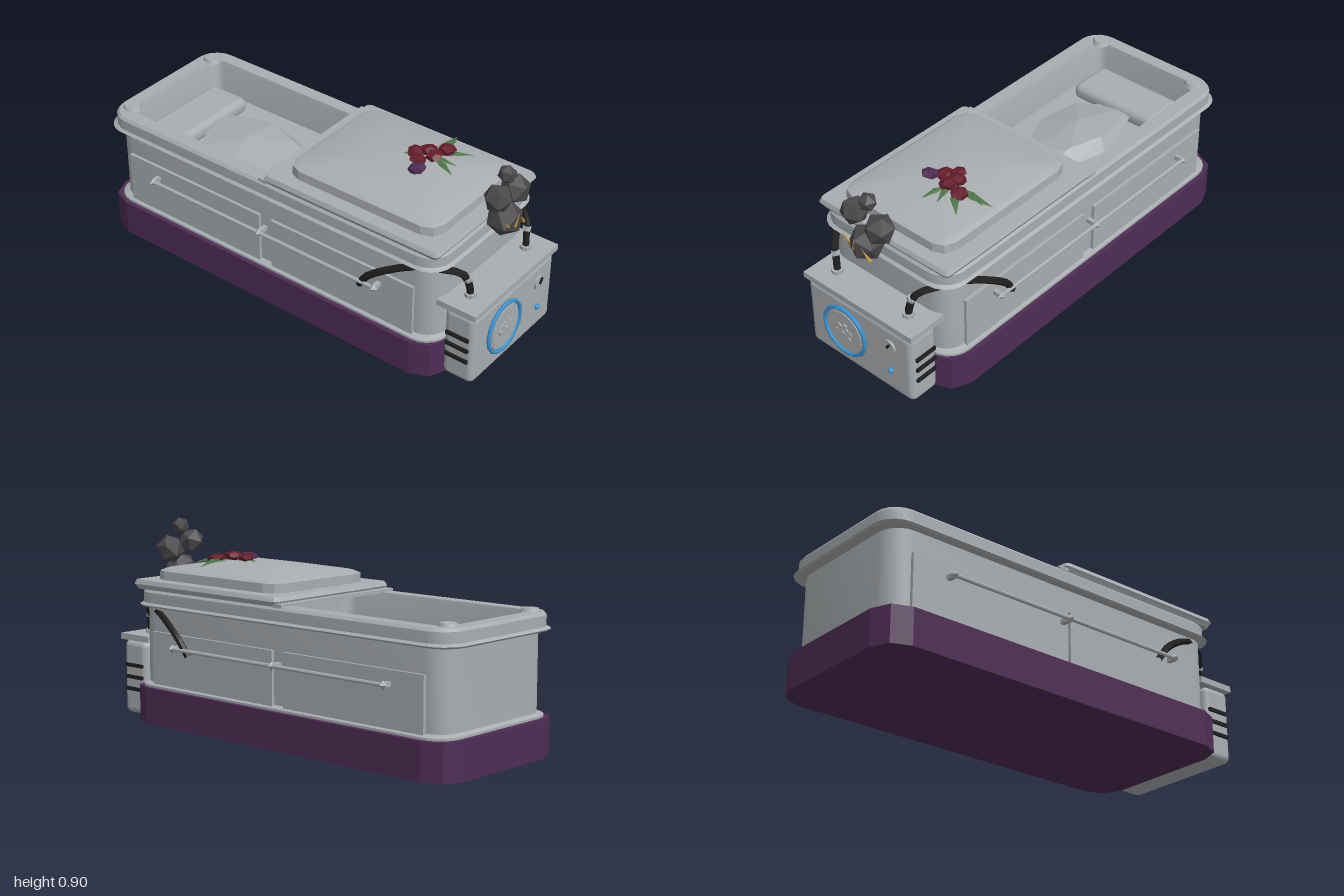
import * as THREE from 'three';
import { toCreasedNormals } from 'three/addons/utils/BufferGeometryUtils.js';
import { RoundedBoxGeometry } from 'three/addons/geometries/RoundedBoxGeometry.js';
import { ConvexGeometry } from 'three/addons/geometries/ConvexGeometry.js';

const mat = (name, color, extra = {}) => {
  const m = new THREE.MeshStandardMaterial({ color, ...extra });
  m.name = name;
  return m;
};

// Rounded-rectangle ring, counter-clockwise seen from above
function ring([hw, z0, z1, y, r], n) {
  const pts = [];
  const corners = [[hw - r, z0 + r], [r - hw, z0 + r], [r - hw, z1 - r], [hw - r, z1 - r]];
  corners.forEach(([cx, cz], k) => {
    for (let i = 0; i <= n; i++) {
      const a = (k + i / n) * Math.PI / 2;
      pts.push([cx + r * Math.cos(a), y, cz - r * Math.sin(a)]);
    }
  });
  return pts;
}

// Loft through levels [halfWidth, zBack, zFront, y, cornerRadius], capped at both ends
function loft(levels, n = 4, crease = 0.5) {
  const rings = levels.map((l) => ring(l, n));
  const m = rings[0].length, pos = [], idx = [];
  rings.forEach((r) => r.forEach((p) => pos.push(...p)));
  for (let j = 0; j < rings.length - 1; j++) {
    for (let i = 0; i < m; i++) {
      const a = j * m + i, b = j * m + (i + 1) % m;
      idx.push(a, b, a + m, b, b + m, a + m);
    }
  }
  const top = (rings.length - 1) * m;
  for (let i = 1; i < m - 1; i++) idx.push(0, i + 1, i, top, top + i, top + i + 1);
  const g = new THREE.BufferGeometry();
  g.setAttribute('position', new THREE.Float32BufferAttribute(pos, 3));
  g.setIndex(idx);
  return toCreasedNormals(g, crease);
}

export function createModel() {
  const model = new THREE.Group();
  const grey = mat('pale grey', 0xa9adb0);
  const purple = mat('dark purple', 0x4e2d54);
  const black = mat('black rubber', 0x1f1f20);
  const blue = mat('blue', 0x3c96d6);
  const smoke = mat('smoke grey', 0x4b484b, { flatShading: true });
  const gold = mat('gold', 0xc29a3c, { flatShading: true });
  const red = mat('deep red', 0x641c2b, { flatShading: true });
  const green = mat('leaf green', 0x4d7345, { side: THREE.DoubleSide });

  const add = (name, geo, material, pos = [0, 0, 0], rot = [0, 0, 0]) => {
    const m = new THREE.Mesh(geo, material);
    m.name = name;
    m.position.set(...pos);
    m.rotation.set(...rot);
    model.add(m);
    return m;
  };
  const box = (x, y, z) => new THREE.BoxGeometry(x, y, z);
  const cyl = (r, h, n = 16, r2 = r) => toCreasedNormals(new THREE.CylinderGeometry(r2, r, h, n), 0.6);

  // Plinth
  add('plinth', loft([[0.39, -1, 0.84, 0, 0.12], [0.39, -1, 0.84, 0.165, 0.12]], 2, 0.3), purple);

  // Hollow shell: foot lip, wall, rim, then down into the bed
  add('shell', loft([
    [0.37, -0.975, 0.825, 0.16, 0.11], [0.37, -0.975, 0.825, 0.175, 0.11],
    [0.342, -0.955, 0.81, 0.185, 0.1], [0.342, -0.955, 0.81, 0.525, 0.1],
    [0.368, -0.992, 0.83, 0.53, 0.11], [0.376, -1, 0.838, 0.538, 0.11],
    [0.364, -0.985, 0.825, 0.548, 0.11], [0.364, -0.985, 0.825, 0.595, 0.11],
    [0.352, -0.975, 0.815, 0.608, 0.1], [0.29, -0.915, 0.1, 0.608, 0.05],
    [0.285, -0.91, 0.1, 0.59, 0.05], [0.27, -0.895, 0.1, 0.45, 0.05],
  ], 5), grey);

  // Front lid: slab, edge strip and domed cover
  add('lidSlab', loft([
    [0.355, -0.06, 0.815, 0.606, 0.02], [0.36, -0.065, 0.82, 0.616, 0.02],
    [0.368, -0.07, 0.828, 0.628, 0.02], [0.36, -0.06, 0.82, 0.648, 0.02],
  ], 2), grey);
  add('lidEdgeStrip', box(0.72, 0.016, 0.05), grey, [0, 0.612, -0.075]);
  add('lidCover', loft([
    [0.298, 0, 0.765, 0.645, 0.07], [0.296, 0, 0.763, 0.688, 0.07],
    [0.275, 0.03, 0.735, 0.7, 0.06], [0.15, 0.2, 0.6, 0.724, 0.05], [0.03, 0.34, 0.48, 0.736, 0.02],
  ], 2, 0.3), grey);

  // Raised discs on the rear rim corners
  for (const s of [-1, 1]) add('rimDisc', cyl(0.045, 0.02, 10, 0.035), grey, [s * 0.27, 0.612, -0.915]);

  // Bed: pillow and draped lump
  add('pillow', new RoundedBoxGeometry(0.46, 0.08, 0.22, 3, 0.035), grey, [0, 0.475, -0.77]);
  const lump = [
    [0.06, 0.48, -0.74], [0.105, 0.48, -0.67], [0.175, 0.46, -0.4], [0.13, 0.46, -0.25], [0.05, 0.455, -0.1],
    [-0.07, 0.465, -0.08], [-0.2, 0.465, -0.4], [-0.16, 0.47, -0.6], [0.13, 0.515, -0.42], [0.08, 0.51, -0.27],
    [-0.03, 0.515, -0.45], [0, 0.43, -0.4],
  ].map((p) => new THREE.Vector3(...p));
  add('beddingFold', new ConvexGeometry(lump), grey);

  for (const s of [-1, 1]) {
    // Side panels
    for (const [z0, z1] of [[-0.04, 0.71], [-0.865, -0.105]]) {
      add('sidePanel', box(0.02, 0.24, z1 - z0), grey, [s * 0.346, 0.3, (z0 + z1) / 2]);
    }
    // Carrying rail with brackets
    add('rail', cyl(0.009, 1.25, 8), grey, [s * 0.394, 0.363, -0.075], [Math.PI / 2, 0, 0]);
    for (const z of [0.54, -0.075, -0.69]) {
      add('railBracket', box(0.05, 0.02, 0.02), grey, [s * 0.37, 0.363, z]);
      add('railCollar', new THREE.OctahedronGeometry(0.02), grey, [s * 0.394, 0.363, z]);
    }
    // Hose from the control box to the side
    const path = new THREE.CatmullRomCurve3([
      [0.205, 0.375, 0.89], [0.212, 0.44, 0.885], [0.235, 0.495, 0.865], [0.29, 0.516, 0.79],
      [0.335, 0.507, 0.69], [0.368, 0.46, 0.585], [0.385, 0.4, 0.5], [0.378, 0.335, 0.455],
    ].map(([x, y, z]) => new THREE.Vector3(s * x, y, z)));
    add('hose', toCreasedNormals(new THREE.TubeGeometry(path, 16, 0.016, 6), 0.4), black);
    add('hoseSocket', cyl(0.026, 0.02, 8), grey, [s * 0.205, 0.385, 0.89]);
    add('hoseCollar', cyl(0.02, 0.018, 6), grey, [s * 0.218, 0.468, 0.88], [0, 0, -s * 0.35]);
    // Vent slits
    for (const y of [0.122, 0.178, 0.233]) add('ventSlit', box(0.014, 0.016, 0.11), black, [s * 0.303, y, 0.9]);
  }

  // Control box and shelf
  add('controlBox', new RoundedBoxGeometry(0.6, 0.345, 0.15, 4, 0.03), grey, [0, 0.176, 0.903]);
  add('shelf', box(0.62, 0.028, 0.19), grey, [0, 0.364, 0.89]);

  // Large dial with cog
  const flat = [Math.PI / 2, 0, 0];
  add('dialRing', new THREE.TorusGeometry(0.118, 0.009, 6, 16), blue, [-0.08, 0.185, 0.985]);
  add('dialRim', cyl(0.112, 0.012, 16, 0.105), grey, [-0.08, 0.185, 0.98], flat);
  add('dialFace', cyl(0.098, 0.008, 14), grey, [-0.08, 0.185, 0.986], flat);
  add('cog', cyl(0.032, 0.008, 12), grey, [-0.08, 0.185, 0.992], flat);
  for (let i = 0; i < 6; i++) {
    const a = i * Math.PI / 3 + 0.25;
    add('cogTooth', box(0.02, 0.02, 0.007), grey,
      [-0.08 + 0.036 * Math.cos(a), 0.185 + 0.036 * Math.sin(a), 0.992], [0, 0, a]);
  }
  add('cogHub', new THREE.SphereGeometry(0.016, 10, 6), grey, [-0.08, 0.185, 0.986]);

  // Small knob and button
  add('knob', cyl(0.033, 0.012, 16), grey, [0.18, 0.255, 0.982], flat);
  add('knobPointer', box(0.01, 0.03, 0.008), black, [0.182, 0.265, 0.991], [0, 0, -0.6]);
  add('button', new THREE.SphereGeometry(0.014, 8, 6), blue, [0.18, 0.123, 0.981]);

  // Faceted smoke puffs and sparks
  [[0, 0.657, 0.9, 0.08], [0.073, 0.757, 0.895, 0.068], [-0.062, 0.785, 0.9, 0.063], [0.01, 0.86, 0.893, 0.041]]
    .forEach(([x, y, z, r], i) =>
      add('smokePuff', new THREE.IcosahedronGeometry(r), smoke, [x, y, z], [i * 0.7, i * 1.1, 0.2 - i * 0.3]));
  [[-0.062, 0.673, 0.95, 0.8], [-0.008, 0.678, 0.965, -0.25], [0.048, 0.647, 0.955, 0.65]].forEach(([x, y, z, a]) =>
    add('spark', new THREE.ConeGeometry(0.008, 0.065, 5), gold, [x, y, z], [0.2, 0, a]));

  // Bouquet: blooms and leaves
  [[0.05, 0.752, 0.42], [0.07, 0.755, 0.5], [0.145, 0.75, 0.515], [0.015, 0.748, 0.455], [0.085, 0.76, 0.46], [-0.04, 0.745, 0.49]]
    .forEach(([x, y, z], i) => {
      const b = add(i < 5 ? 'redBloom' : 'purpleBloom', new THREE.DodecahedronGeometry(0.04), i < 5 ? red : purple,
        [x, y, z], [i * 0.4, i, 0]);
      b.scale.set(1, 0.5, 1);
      b.rotation.set(0, i, 0.15);
    });
  const leaf = new THREE.BufferGeometry();
  leaf.setAttribute('position', new THREE.Float32BufferAttribute([
    0, 0, 0, 0.07, 0.004, 0.02, 0.07, 0.016, 0, 0.07, 0.004, -0.02, 0.16, -0.014, 0], 3));
  leaf.setIndex([0, 1, 2, 0, 2, 3, 1, 4, 2, 2, 4, 3]);
  leaf.computeVertexNormals();
  [[0.13, 0.5, 0.2], [0.1, 0.5, -0.75], [0.07, 0.48, -1.35], [0.07, 0.5, -1.9], [0.08, 0.44, 2.2], [0.12, 0.47, -0.15]]
    .forEach(([x, z, a], i) => {
      const l = add('leaf', leaf, green, [x, 0.737, z], [0, a, 0]);
      l.scale.setScalar([1, 0.95, 0.75, 0.8, 0.7, 0.85][i]);
    });

  return model;
}
